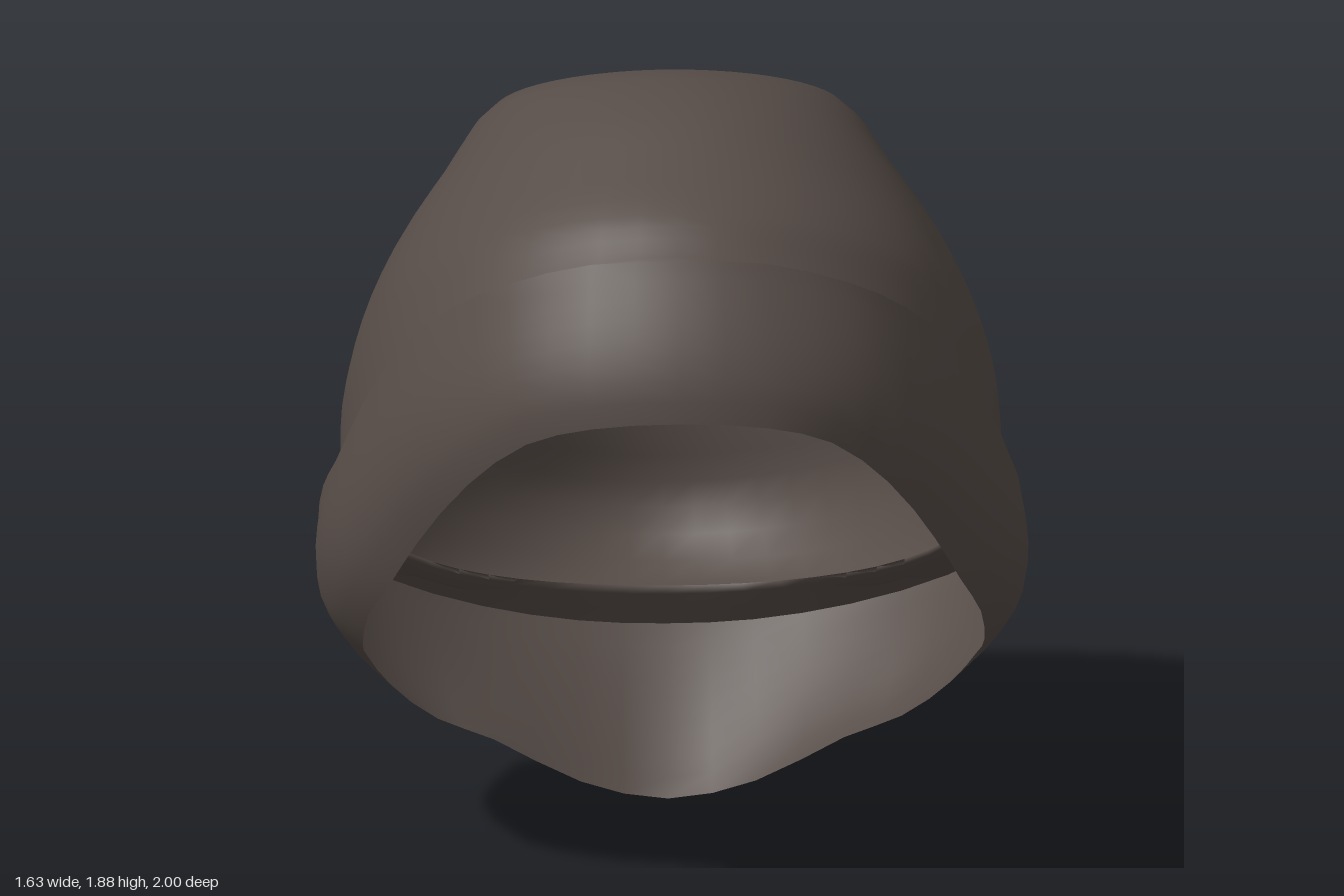
import * as THREE from 'three';

const V = (x, y, z) => new THREE.Vector3(x, y, z);

// Closed band of cols x rows quads from a point function f(u, v), u running around, v upward
function loft(f, cols, rows) {
  const pos = [], idx = [];
  for (let j = 0; j <= rows; j++)
    for (let i = 0; i < cols; i++) pos.push(...f(i / cols, j / rows).toArray());
  for (let j = 0; j < rows; j++)
    for (let i = 0; i < cols; i++) {
      const n = (i + 1) % cols;
      const a = j * cols + i, b = j * cols + n, c = a + cols, d = b + cols;
      idx.push(a, b, c, b, d, c);
    }
  const g = new THREE.BufferGeometry();
  g.setAttribute('position', new THREE.Float32BufferAttribute(pos, 3));
  g.setIndex(idx);
  g.computeVertexNormals();
  return g;
}

// Closed curve from the points of its left half, front to back
function mirroredLoop(half) {
  const left = half.map(p => V(...p));
  const right = left.slice(1, -1).reverse().map(p => V(-p.x, p.y, p.z));
  return new THREE.CatmullRomCurve3([...left, ...right], true);
}

export function createModel() {
  const knit = new THREE.MeshStandardMaterial({ color: 0x574d48, side: THREE.DoubleSide });
  knit.name = 'dark brown knit';
  const group = new THREE.Group();
  group.name = 'beanie';

  // Folded brim: lower and upper edges joined by a softly bulging wall
  const lower = mirroredLoop([
    [0, 1.33, 0.995], [0.2, 1.31, 0.965], [0.35, 1.25, 0.89], [0.48, 1.12, 0.78], [0.59, 0.93, 0.61],
    [0.65, 0.8, 0.51], [0.7, 0.68, 0.38], [0.71, 0.57, 0.25], [0.695, 0.49, 0.1], [0.64, 0.38, -0.03],
    [0.53, 0.25, -0.18], [0.4, 0.18, -0.24], [0.2, 0.055, -0.31], [0, 0, -0.35],
  ]);
  const upper = mirroredLoop([
    [0, 1.67, 0.84], [0.2, 1.655, 0.81], [0.39, 1.58, 0.72], [0.52, 1.48, 0.59], [0.62, 1.36, 0.47],
    [0.71, 1.17, 0.32], [0.77, 0.99, 0.19], [0.795, 0.87, 0], [0.8, 0.73, -0.18], [0.77, 0.63, -0.28],
    [0.64, 0.52, -0.39], [0.42, 0.41, -0.52], [0.2, 0.355, -0.58], [0, 0.34, -0.6],
  ]);
  const axis = V(0, 0.866, -0.5), centre = V(0, 0.84, 0.22);
  const brimPoint = (u, v) => {
    const p = lower.getPoint(u).lerp(upper.getPoint(u), v);
    const out = p.clone().sub(centre);
    out.addScaledVector(axis, -out.dot(axis)).normalize();
    const bulge = (0.03 + 0.06 * p.x * p.x) * THREE.MathUtils.clamp(0.9 + 1.2 * p.z, 0.5, 1);
    return p.addScaledVector(out, bulge * Math.sin(Math.PI * v ** 0.75));
  };
  const brim = new THREE.Mesh(loft(brimPoint, 52, 8), knit);
  brim.name = 'foldedBrim';

  // Crown: tilted rings given as [front z, front y, back z, back y, half width, back taper, sag of the sides]
  const rings = [
    [0.77, 1.57, -0.54, 0.45, 0.72, 0, 0.1],
    [0.785, 1.6, -0.63, 0.375, 0.75, 0, 0.11],
    [0.785, 1.63, -0.84, 0.362, 0.755, 0.1, 0.11],
    [0.74, 1.67, -1.0, 0.49, 0.75, 0.2, 0.06],
    [0.67, 1.73, -0.985, 0.68, 0.71, 0.18, 0.02],
    [0.5, 1.8, -0.96, 0.87, 0.635, 0.12, 0],
    [0.32, 1.86, -0.83, 1.17, 0.52, 0.05, 0],
    [0.02, 1.868, -0.65, 1.46, 0.4, 0, 0],
    [-0.17, 1.785, -0.45, 1.62, 0.2, 0, 0],
    [-0.3, 1.715, -0.3, 1.715, 0, 0, 0],
  ];
  // Each column starts on the brim's upper edge, dips into the fold, then climbs to the peak
  const columns = new Map();
  const crownPoint = (u, v) => {
    if (!columns.has(u)) {
      const c = Math.cos(u * Math.PI * 2), s = Math.sin(u * Math.PI * 2);
      const climb = rings.map(([fz, fy, bz, by, w, taper, sag]) => {
        const narrow = 1 - taper * Math.min(0, c) ** 2;
        return V(s * w * narrow, (fy + by) / 2 + c * (fy - by) / 2, (fz + bz) / 2 + c * (fz - bz) / 2)
          .addScaledVector(axis, -sag * s * s);
      });
      columns.set(u, new THREE.CatmullRomCurve3([upper.getPoint(u), ...climb]));
    }
    return columns.get(u).getPoint(v);
  };
  const crown = new THREE.Mesh(loft(crownPoint, 52, 30), knit);
  crown.name = 'crown';

  group.add(crown, brim);
  return group;
}
